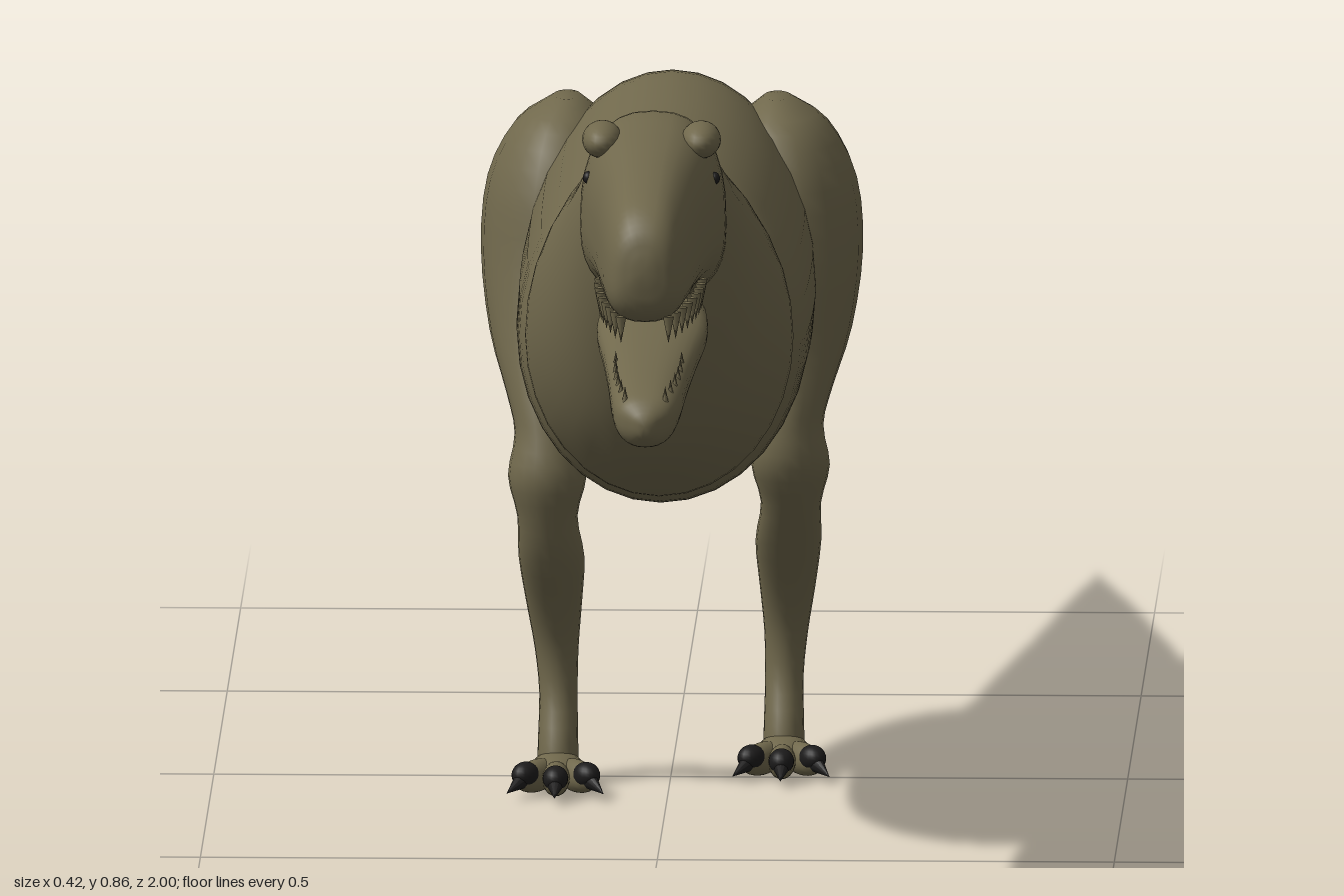
import * as THREE from 'three';

const mat = (name, color) => {
  const m = new THREE.MeshStandardMaterial({ color });
  m.name = name;
  return m;
};

// Skin closed rings of points, capping both ends; turned outward by signed volume
function skin(rings) {
  const n = rings[0].length, pos = [], idx = [];
  rings.forEach(r => r.forEach(p => pos.push(p.x, p.y, p.z)));
  for (let i = 0; i < rings.length - 1; i++) for (let j = 0; j < n; j++) {
    const a = i * n + j, b = i * n + (j + 1) % n, c = a + n, d = b + n;
    idx.push(a, c, b, b, c, d);
  }
  [0, rings.length - 1].forEach((ri, end) => {
    const c = new THREE.Vector3();
    rings[ri].forEach(p => c.addScaledVector(p, 1 / n));
    const k = pos.length / 3;
    pos.push(c.x, c.y, c.z);
    for (let j = 0; j < n; j++) {
      const a = ri * n + j, b = ri * n + (j + 1) % n;
      if (end) idx.push(k, b, a); else idx.push(k, a, b);
    }
  });
  const v = i => new THREE.Vector3().fromArray(pos, idx[i] * 3);
  let volume = 0;
  for (let i = 0; i < idx.length; i += 3) volume += v(i).dot(v(i + 1).cross(v(i + 2)));
  if (volume < 0) idx.reverse();
  const g = new THREE.BufferGeometry();
  g.setAttribute('position', new THREE.Float32BufferAttribute(pos, 3));
  g.setIndex(idx);
  g.computeVertexNormals();
  return g;
}

// Smoothly interpolate rows of five numbers
function smoothRows(rows, steps) {
  const curve = f => new THREE.CatmullRomCurve3(rows.map(f), false, 'catmullrom');
  const a = curve(r => new THREE.Vector3(r[0], r[1], r[2]));
  const b = curve(r => new THREE.Vector3(r[3], r[4] ?? 0, 0));
  const out = [], n = (rows.length - 1) * steps;
  for (let i = 0; i <= n; i++) {
    const p = a.getPoint(i / n), q = b.getPoint(i / n);
    out.push([p.x, p.y, p.z, Math.max(q.x, 0.0005), q.y]);
  }
  return out;
}

// Sections along z: [z, top, bottom, half width]; mid = height of widest point
function bodyLoft(rows, mid = 0.48, power = 2, sides = 32) {
  return skin(smoothRows(rows, 4).map(([z, top, bot, w]) => {
    const c = bot + (top - bot) * mid;
    return Array.from({ length: sides }, (_, j) => {
      const t = j / sides * Math.PI * 2, co = Math.cos(t), si = Math.sin(t), e = 2 / power;
      const h = si > 0 ? top - c : c - bot;
      return new THREE.Vector3(w * Math.sign(co) * Math.abs(co) ** e, c + h * Math.sign(si) * Math.abs(si) ** e, z);
    });
  }));
}

// Rings down a limb: [x, y, z, radius x, radius z]
function limbLoft(rows, sides = 20) {
  return skin(smoothRows(rows, 3).map(([x, y, z, rx, rz]) =>
    Array.from({ length: sides }, (_, j) => {
      const t = j / sides * Math.PI * 2;
      return new THREE.Vector3(x + rx * Math.cos(t), y, z + rz * Math.sin(t));
    })));
}

export function createModel() {
  const hide = mat('olive hide', 0x70684c), black = mat('claw black', 0x1c1b1b);
  const model = new THREE.Group();
  model.name = 'dinosaur';
  const add = (parent, name, geo, m, p = [0, 0, 0], s = [1, 1, 1], r = [0, 0, 0]) => {
    const mesh = new THREE.Mesh(geo, m);
    mesh.name = name;
    mesh.position.set(...p);
    mesh.scale.set(...s);
    mesh.rotation.set(...r);
    parent.add(mesh);
    return mesh;
  };
  const ball = new THREE.SphereGeometry(1, 20, 14);

  // Torso running into the tail
  add(model, 'torsoAndTail', bodyLoft([
    [0.43, 0.745, 0.395, 0.142], [0.40, 0.762, 0.38, 0.154], [0.30, 0.765, 0.366, 0.16],
    [0.15, 0.77, 0.363, 0.162], [0.05, 0.777, 0.37, 0.16], [-0.03, 0.78, 0.405, 0.15],
    [-0.12, 0.762, 0.46, 0.133], [-0.22, 0.718, 0.50, 0.11], [-0.40, 0.688, 0.52, 0.087],
    [-0.60, 0.655, 0.545, 0.058], [-0.80, 0.62, 0.565, 0.032], [-0.96, 0.59, 0.58, 0.006],
    [-1.0, 0.586, 0.584, 0.001]]), hide);

  // Neck and throat
  add(model, 'neck', bodyLoft([
    [0.36, 0.74, 0.40, 0.14], [0.43, 0.765, 0.392, 0.147], [0.50, 0.795, 0.42, 0.137],
    [0.56, 0.822, 0.462, 0.116], [0.60, 0.845, 0.515, 0.098], [0.63, 0.85, 0.58, 0.08],
    [0.65, 0.83, 0.64, 0.05]]), hide);

  // Head
  add(model, 'skull', bodyLoft([
    [0.52, 0.805, 0.66, 0.05], [0.58, 0.842, 0.64, 0.075], [0.66, 0.863, 0.655, 0.08],
    [0.74, 0.855, 0.675, 0.073], [0.82, 0.843, 0.68, 0.061], [0.90, 0.83, 0.68, 0.052],
    [0.96, 0.815, 0.684, 0.044], [0.99, 0.79, 0.70, 0.032], [1.0, 0.76, 0.735, 0.01]], 0.4, 2.5), hide);
  add(model, 'lowerJaw', bodyLoft([
    [0.58, 0.67, 0.60, 0.05], [0.68, 0.65, 0.587, 0.061], [0.76, 0.632, 0.57, 0.052],
    [0.84, 0.62, 0.556, 0.044], [0.92, 0.61, 0.543, 0.038], [0.96, 0.60, 0.545, 0.03],
    [0.98, 0.58, 0.56, 0.008]], 0.6, 2.3), hide);

  const tooth = new THREE.ConeGeometry(0.006, 0.03, 8);
  for (const s of [1, -1]) {
    add(model, 'brow', ball, hide, [s * 0.054, 0.842, 0.715], [0.022, 0.02, 0.04]);
    add(model, 'eye', ball, black, [s * 0.069, 0.8, 0.72], [0.006, 0.007, 0.007]);
    // Teeth along both jaws
    for (let i = 0; i < 9; i++) {
      const t = i / 8;
      add(model, 'upperTooth', tooth, hide, [s * (0.056 - 0.03 * t ** 2), 0.677, 0.74 + 0.23 * t], [1, 1, 1], [Math.PI, 0, 0]);
    }
    for (let i = 0; i < 6; i++) {
      const t = i / 5;
      add(model, 'lowerTooth', tooth, hide, [s * (0.036 - 0.014 * t ** 2), 0.614 - 0.014 * t, 0.82 + 0.135 * t], [0.8, 0.8, 0.8]);
    }
  }
  // Dark mark on the neck
  add(model, 'neckMark', ball, black, [-0.045, 0.772, 0.475], [0.013, 0.004, 0.013], [-0.4, 0, 0.25]);

  // Legs: the right one strides ahead of the left
  const legRows = [
    [0.115, 0.75, -0.05, 0.015, 0.03], [0.12, 0.72, -0.05, 0.052, 0.085], [0.122, 0.66, -0.055, 0.08, 0.122],
    [0.125, 0.58, -0.05, 0.084, 0.125], [0.128, 0.50, -0.02, 0.07, 0.092], [0.135, 0.44, 0.015, 0.043, 0.06],
    [0.132, 0.40, 0.033, 0.036, 0.043], [0.132, 0.355, 0.03, 0.043, 0.042], [0.132, 0.31, 0.012, 0.033, 0.033],
    [0.128, 0.26, -0.025, 0.036, 0.034], [0.126, 0.20, -0.062, 0.03, 0.029], [0.124, 0.15, -0.08, 0.024, 0.025],
    [0.122, 0.10, -0.08, 0.021, 0.024], [0.122, 0.05, -0.066, 0.022, 0.03], [0.122, 0.008, -0.062, 0.023, 0.036]];
  const claw = new THREE.ConeGeometry(0.012, 0.05, 10).rotateX(Math.PI / 2);
  for (const s of [1, -1]) {
    const stride = y => s > 0 ? 0 : 0.11 * THREE.MathUtils.clamp((0.6 - y) / 0.35, 0, 1);
    const leg = new THREE.Group();
    leg.name = s > 0 ? 'leftLeg' : 'rightLeg';
    model.add(leg);
    add(leg, 'thighAndShin', limbLoft(legRows.map(([x, y, z, rx, rz]) => [s * x, y, z + stride(y), rx, rz])), hide);
    const foot = new THREE.Group();
    foot.name = 'foot';
    foot.position.set(s * 0.122, 0, stride(0) - 0.05);
    leg.add(foot);
    add(foot, 'footPad', ball, hide, [0, 0.021, 0.01], [0.03, 0.02, 0.045]);
    // Three spread toes with claws
    for (const a of [-0.5, 0, 0.5]) {
      const toe = new THREE.Group();
      toe.name = 'toe';
      toe.rotation.y = a;
      foot.add(toe);
      const reach = a ? 0 : 0.014;
      add(toe, 'toePad', ball, hide, [0, 0.02, 0.045 + reach], [0.015, 0.018, 0.042]);
      add(toe, 'claw', claw, black, [0, 0.017, 0.087 + reach], [1.1, 1.2, 1], [0.28, 0, 0]);
      add(toe, 'clawRoot', ball, black, [0, 0.025, 0.07 + reach], [0.014, 0.014, 0.018]);
    }
  }
  return model;
}
